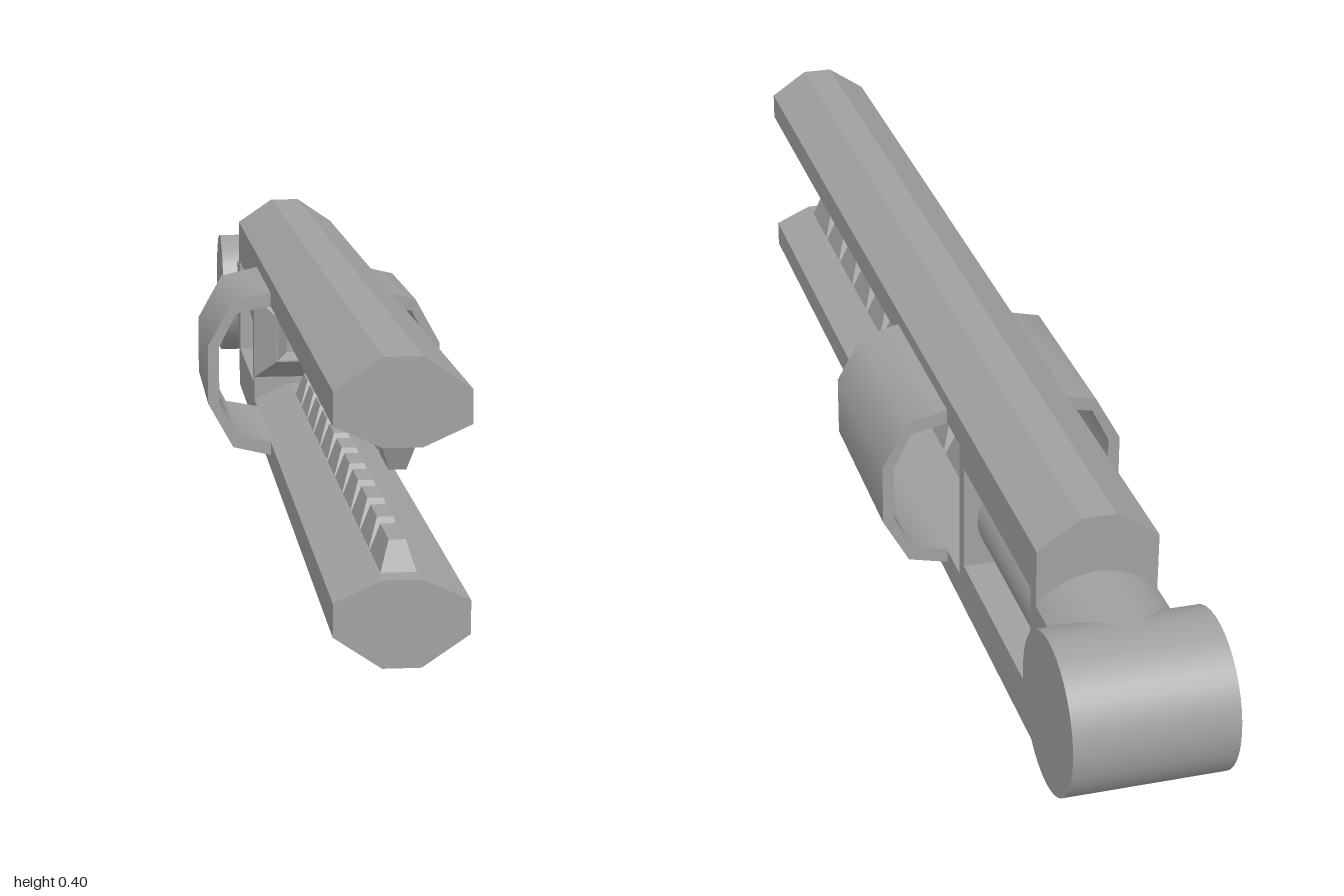
import * as THREE from 'three';
import { toCreasedNormals } from 'three/addons/utils/BufferGeometryUtils.js';

const MID = 0.198; // height of the long axis

function shapeOf(points) {
  return new THREE.Shape(points.map(([x, y]) => new THREE.Vector2(x, y)));
}

// Extrude an x/y profile between two z positions
function extrude(shape, z0, z1) {
  const g = new THREE.ExtrudeGeometry(shape, { depth: z1 - z0, bevelEnabled: false });
  return g.translate(0, 0, z0);
}

// Flat-sided solid through rectangular rings [halfX, halfY, z], capped at the last ring
function rings(list) {
  const pos = [];
  const corner = ([hx, hy, z], i) => [[-hx, -hy, z], [hx, -hy, z], [hx, hy, z], [-hx, hy, z]][i % 4];
  const quad = (a, b, c, d) => pos.push(...a, ...b, ...c, ...a, ...c, ...d);
  for (let r = 0; r < list.length - 1; r++) {
    for (let i = 0; i < 4; i++) {
      quad(corner(list[r], i), corner(list[r], i + 1), corner(list[r + 1], i + 1), corner(list[r + 1], i));
    }
  }
  const end = list[list.length - 1];
  quad(corner(end, 0), corner(end, 1), corner(end, 2), corner(end, 3));
  const g = new THREE.BufferGeometry();
  g.setAttribute('position', new THREE.Float32BufferAttribute(pos, 3));
  g.computeVertexNormals();
  return g;
}

export function createModel() {
  const model = new THREE.Group();
  const grey = new THREE.MeshStandardMaterial({ color: 0xa0a0a0 });
  grey.name = 'grey';
  const add = (name, geometry, y = MID, z = 0) => {
    const m = new THREE.Mesh(geometry, grey);
    m.name = name;
    m.position.set(0, y, z);
    model.add(m);
    return m;
  };

  for (const s of [1, -1]) {
    const label = s > 0 ? 'upper' : 'lower';

    // Long octagonal rails
    const half = [[0.025, 0.198], [0.087, 0.156], [0.087, 0.112], [0.025, 0.084]];
    const profile = [...half, ...half.map(([x, y]) => [-x, y]).reverse()].map(([x, y]) => [x, y * s]);
    add(label + 'Rail', extrude(shapeOf(profile), -0.74, 1));

    // Row of tapered teeth; the front one is longer
    for (let k = 0; k < 11; k++) {
      const base = k === 0 ? 0.059 : 0.051;
      const g = rings([[0.024, base, -0.003], [0.011, base - 0.016, 0.039]]);
      g.rotateX(s * Math.PI / 2);
      add(label + 'Tooth', g, MID + s * 0.084, k === 0 ? 0.905 : 0.898 - 0.109 * k);
    }
  }

  // Curved side guards, open inside
  const outer = [[0.08, 0.135], [0.148, 0.119], [0.188, 0.047]];
  const inner = [[0.17, 0.045], [0.142, 0.1], [0.08, 0.112]];
  const mirrorY = (list) => list.map(([x, y]) => [x, -y]).reverse();
  const guard = [...outer, ...mirrorY(outer), ...mirrorY(inner), ...inner];
  for (const s of [1, -1]) {
    const g = extrude(shapeOf(guard.map(([x, y]) => [x * s, y])), -0.28, 0.02);
    add(s > 0 ? 'leftGuard' : 'rightGuard', toCreasedNormals(g, 1.1));
  }

  // Rear housing with a side window
  const body = shapeOf([[-0.74, -0.112], [-0.35, -0.112], [-0.35, 0.112], [-0.74, 0.112]]);
  body.holes.push(shapeOf([[-0.715, -0.084], [-0.715, 0.084], [-0.375, 0.084], [-0.375, -0.084]]));
  add('housing', extrude(body, -0.087, 0.087).rotateY(-Math.PI / 2));
  add('windowWall', new THREE.BoxGeometry(0.03, 0.18, 0.36), MID, -0.545);

  // Chamfered canister lying in the window
  const can = [[0, -0.17], [0.058, -0.17], [0.07, -0.155], [0.07, 0.155], [0.058, 0.17], [0, 0.17]];
  const canister = new THREE.LatheGeometry(can.map(([r, y]) => new THREE.Vector2(r, y)), 32);
  add('canister', toCreasedNormals(canister.rotateX(Math.PI / 2), 0.5), MID, -0.545);

  // Tapered emitter with a sunken mouth
  add('emitter', rings([
    [0.087, 0.072, -0.35], [0.05, 0.04, -0.317], [0.048, 0.038, -0.317], [0.03, 0.027, -0.342],
  ]));

  // Neck: round top and bottom, flat sides
  const R = 0.112;
  const a = Math.acos(0.087 / R);
  const neck = new THREE.Shape();
  neck.absarc(0, 0, R, a, Math.PI - a, false);
  neck.absarc(0, 0, R, Math.PI + a, 2 * Math.PI - a, false);
  add('neck', toCreasedNormals(extrude(neck, -0.888, -0.73), 0.5));

  // Crosswise rear barrel
  add('rearBarrel', new THREE.CylinderGeometry(R, R, 0.23, 40).rotateZ(Math.PI / 2), MID, -0.888);

  return model;
}
